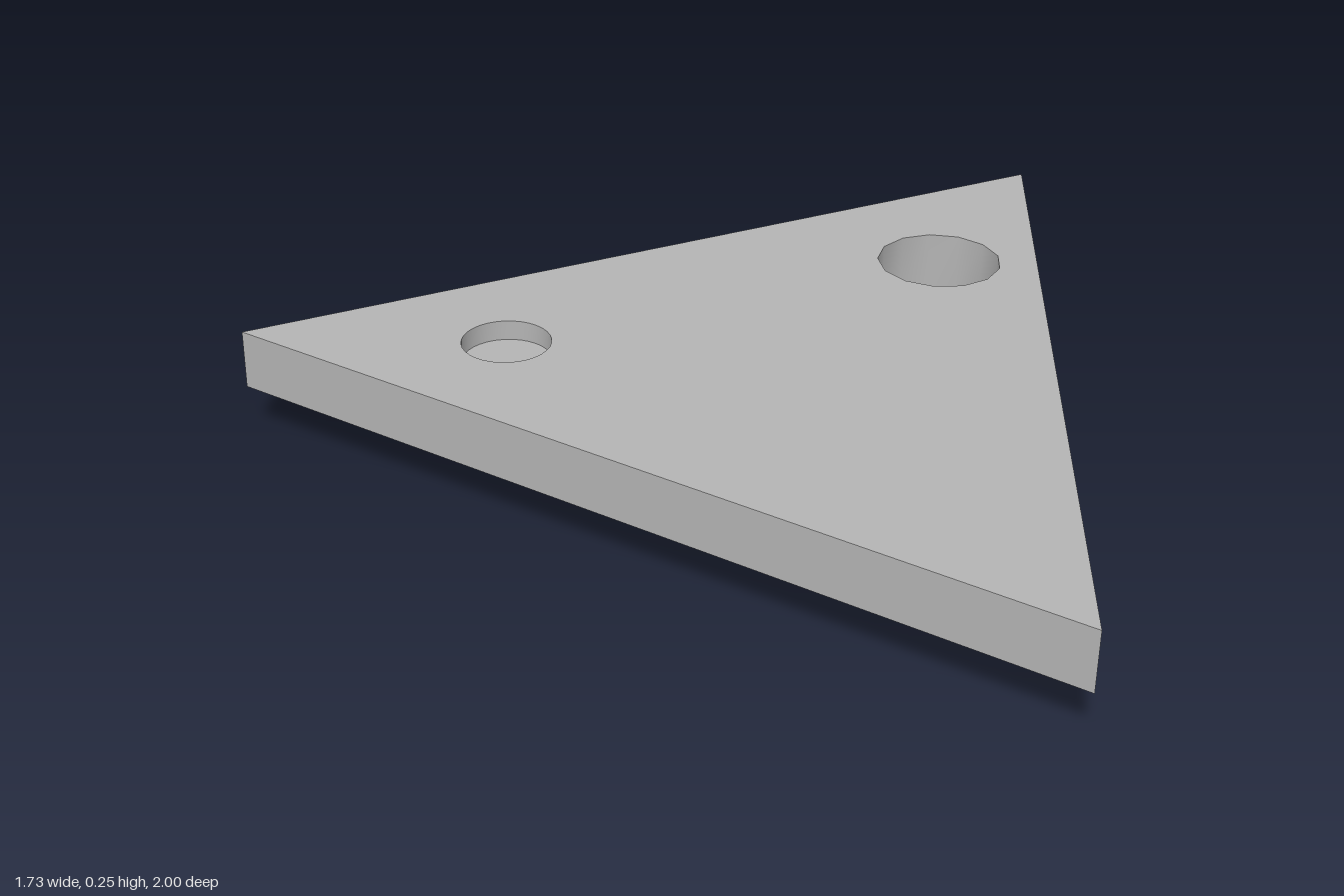
import * as THREE from 'three';
import { mergeGeometries, toCreasedNormals } from 'three/addons/utils/BufferGeometryUtils.js';

const TOP = 0.25, BOTTOM = 0.117, POCKET = 0.205;

// Points of a circle on the plan (plan y is -z), counterclockwise
function circle(cx, cy, r, n) {
  return Array.from({ length: n }, (_, i) => {
    const a = Math.PI + (i / n) * Math.PI * 2;
    return new THREE.Vector2(cx + r * Math.cos(a), cy + r * Math.sin(a));
  });
}

// Horizontal face from an outline and holes, facing up or down
function cap(outline, holes, y, up) {
  const shape = new THREE.Shape(outline);
  shape.holes = holes.map((h) => new THREE.Path(h));
  const g = new THREE.ShapeGeometry(shape);
  if (!up) {
    const idx = g.index.array;
    for (let i = 0; i < idx.length; i += 3) [idx[i], idx[i + 1]] = [idx[i + 1], idx[i]];
  }
  g.deleteAttribute('uv');
  return g.rotateX(-Math.PI / 2).translate(0, y, 0).toNonIndexed();
}

// Vertical wall along a closed loop, facing outward or into a hole
function wall(loop, y0, y1, outward) {
  const pos = [];
  loop.forEach((p, i) => {
    const q = loop[(i + 1) % loop.length];
    const [a, b] = outward ? [p, q] : [q, p];
    pos.push(a.x, y0, -a.y, b.x, y0, -b.y, b.x, y1, -b.y);
    pos.push(a.x, y0, -a.y, b.x, y1, -b.y, a.x, y1, -a.y);
  });
  const g = new THREE.BufferGeometry();
  g.setAttribute('position', new THREE.Float32BufferAttribute(pos, 3));
  g.computeVertexNormals();
  return g;
}

export function createModel() {
  const model = new THREE.Group();
  const grey = new THREE.MeshStandardMaterial({ color: 0xb4b4b4 });
  grey.name = 'plain grey';

  // Triangular plate with a through hole and a shallow round pocket
  const triangle = [[-0.866, 0], [0.866, -1], [0.866, 1]].map((p) => new THREE.Vector2(...p));
  const hole = circle(0.643, 0.48, 0.14, 13);
  const pocket = circle(-0.293, 0, 0.097, 32);
  const plate = mergeGeometries([
    cap(triangle, [hole, pocket], TOP, true),
    cap(triangle, [hole], BOTTOM, false),
    cap(pocket, [], POCKET, true),
    wall(triangle, BOTTOM, TOP, true),
    wall(hole, BOTTOM, TOP, false),
    wall(pocket, POCKET, TOP, false),
  ]);
  const plateMesh = new THREE.Mesh(toCreasedNormals(plate, 0.6), grey);
  plateMesh.name = 'triangularPlate';
  model.add(plateMesh);

  // Angular loop handle underneath
  const half = [[0.16, 0], [0.23, 0.07], [0.23, BOTTOM], [0.17, BOTTOM], [0.10, 0.045]];
  const mirrored = half.map(([z, y]) => [-z, y]).reverse();
  const profile = new THREE.Shape([...half, ...mirrored].map((p) => new THREE.Vector2(...p)));
  const handle = new THREE.ExtrudeGeometry(profile, { depth: 0.226, bevelEnabled: false });
  handle.rotateY(Math.PI / 2).translate(0.173, 0, 0);
  const handleMesh = new THREE.Mesh(handle, grey);
  handleMesh.name = 'undersideHandle';
  model.add(handleMesh);

  return model;
}
